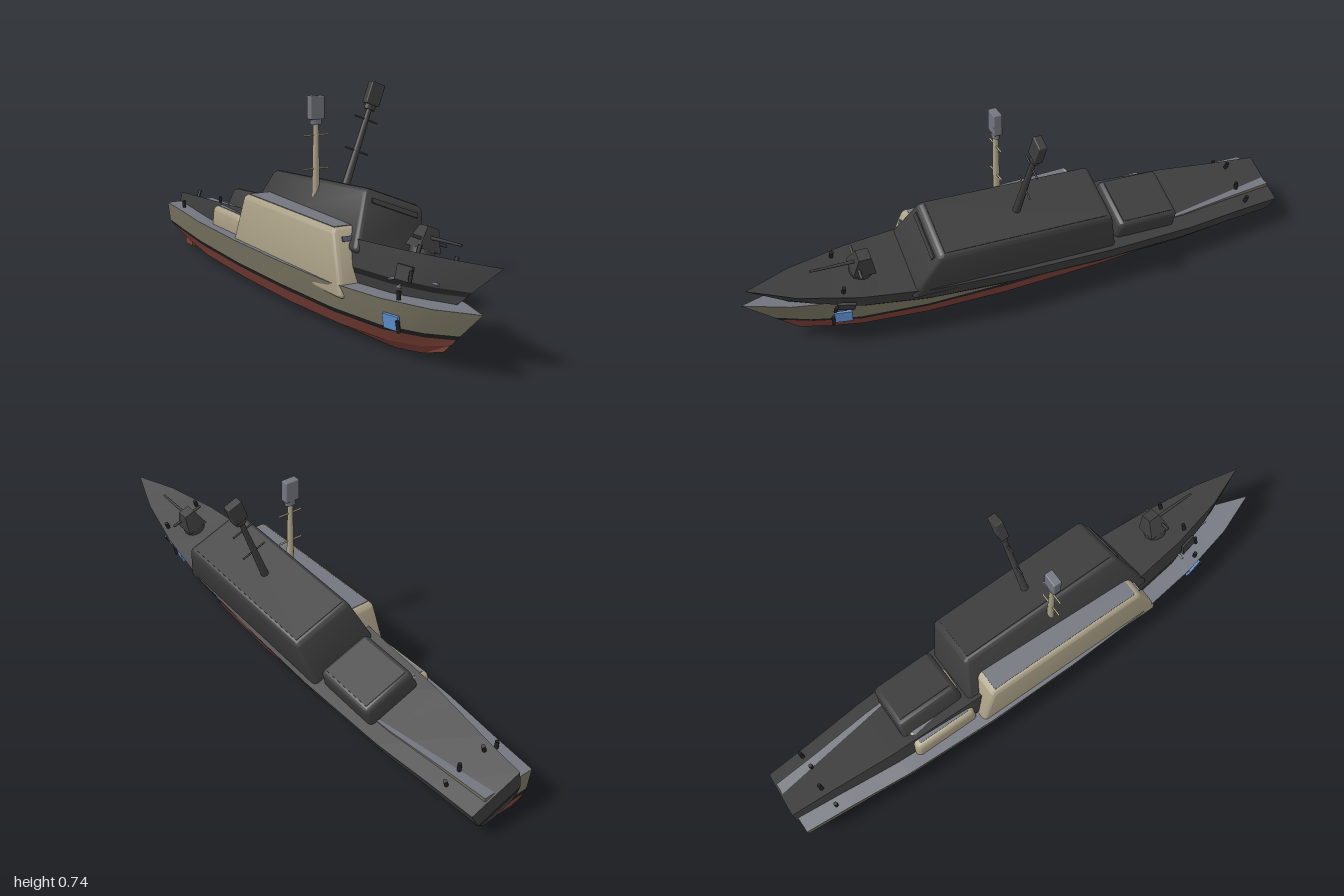
import * as THREE from 'three';
import { toCreasedNormals } from 'three/addons/utils/BufferGeometryUtils.js';
import { RoundedBoxGeometry } from 'three/addons/geometries/RoundedBoxGeometry.js';

const mat = (name, color) => {
  const m = new THREE.MeshStandardMaterial({ color });
  m.name = name;
  return m;
};

// z, rake, deck half-width, deck y, stripe half-width, stripe y, bilge half-width, bilge y, flat half-width, keel y
const STATIONS = [
  [1.0, 0.23, 0, 0.205, 0, 0.118, 0, 0.08, 0, 0.05],
  [0.85, 0.13, 0.058, 0.19, 0.042, 0.102, 0.022, 0.05, 0.006, 0.02],
  [0.65, 0.04, 0.103, 0.178, 0.087, 0.09, 0.06, 0.035, 0.022, 0.003],
  [0.4, 0, 0.134, 0.17, 0.118, 0.087, 0.088, 0.028, 0.037, 0],
  [0.1, 0, 0.145, 0.168, 0.13, 0.085, 0.105, 0.025, 0.045, 0],
  [-0.25, 0, 0.147, 0.167, 0.133, 0.084, 0.107, 0.025, 0.045, 0],
  [-0.6, 0, 0.134, 0.165, 0.12, 0.084, 0.098, 0.028, 0.04, 0.004],
  [-0.82, 0, 0.113, 0.165, 0.102, 0.086, 0.08, 0.042, 0.035, 0.025],
  [-0.99, 0, 0.1, 0.165, 0.09, 0.09, 0.07, 0.063, 0.03, 0.05],
];

// Cross-section rows from deck edge down to keel, for one side
function sectionRows(s, side) {
  const [z, rake, dw, dy, sw, sy, bw, by, fw, ky] = s;
  const k = 0.016 / (sy - by);
  const rows = [[dw, dy], [sw, sy], [sw + (bw - sw) * k, sy - 0.016], [bw, by], [fw, ky]];
  return rows.map(([x, y]) => new THREE.Vector3(side * x, y, z - rake * (dy - y) / dy));
}

// Skin between two equally long lines of points
function strip(a, b) {
  const pos = [];
  const tri = (p, q, r) => {
    const area = q.clone().sub(p).cross(r.clone().sub(p)).length();
    if (area > 1e-9) for (const v of [p, q, r]) pos.push(v.x, v.y, v.z);
  };
  for (let i = 0; i < a.length - 1; i++) {
    tri(a[i], b[i], a[i + 1]);
    tri(b[i], b[i + 1], a[i + 1]);
  }
  const g = new THREE.BufferGeometry();
  g.setAttribute('position', new THREE.Float32BufferAttribute(pos, 3));
  g.computeVertexNormals();
  return toCreasedNormals(g, 0.45);
}

// Rounded cabin whose sides and ends lean in toward the roof
function cabin(y0, y1, base, roof) {
  const g = new RoundedBoxGeometry(1, 1, 1, 3, 0.001);
  const src = new RoundedBoxGeometry(base.hw * 2, y1 - y0, base.front - base.back, 3, 0.018);
  g.dispose();
  const p = src.attributes.position;
  const len = base.front - base.back;
  for (let i = 0; i < p.count; i++) {
    const t = p.getY(i) / (y1 - y0) + 0.5;
    const u = p.getZ(i) / len + 0.5;
    const back = base.back + (roof.back - base.back) * t;
    const front = base.front + (roof.front - base.front) * t;
    p.setXYZ(i, p.getX(i) * (1 + (roof.hw / base.hw - 1) * t), y0 + (y1 - y0) * t, back + (front - back) * u);
  }
  src.computeVertexNormals();
  return toCreasedNormals(src, 0.6);
}

function buildShip(c) {
  const ship = new THREE.Group();
  const add = (name, geo, material, x = 0, y = 0, z = 0) => {
    const m = new THREE.Mesh(geo, material);
    m.name = name;
    m.position.set(x, y, z);
    ship.add(m);
    return m;
  };
  const box = (w, h, d) => new THREE.BoxGeometry(w, h, d);
  const cyl = (top, bottom, h, n = 12) => new THREE.CylinderGeometry(top, bottom, h, n);

  // Hull bands run down one side, across the transom and back up the other
  const left = STATIONS.map(s => sectionRows(s, 1));
  const right = STATIONS.map(s => sectionRows(s, -1));
  const loop = [...left, ...[...right].reverse()];
  const row = (list, i) => list.map(r => r[i]);
  const bands = [['topsides', c.hull], ['waterlineStripe', c.stripe], ['lowerHull', c.bottom], ['bilge', c.bottom]];
  bands.forEach(([name, m], i) => add(name, strip(row(loop, i), row(loop, i + 1)), m));
  add('deck', strip(row(right, 0), row(left, 0)), c.deck);
  add('flatBottom', strip(row(left, 4), row(right, 4)), c.bottom);

  // Superstructure and aft deckhouse with thin roof plates
  add('superstructure', cabin(0.13, 0.333,
    { hw: 0.135, front: 0.482, back: -0.294 }, { hw: 0.114, front: 0.4, back: -0.228 }), c.cabin);
  add('superstructureRoof', box(0.2, 0.004, 0.595), c.deck, 0, 0.333, 0.086);
  add('aftDeckhouse', cabin(0.14, 0.236,
    { hw: 0.106, front: -0.29, back: -0.54 }, { hw: 0.1, front: -0.296, back: -0.53 }), c.cabin);
  add('aftDeckhouseRoof', box(0.168, 0.004, 0.2), c.deck, 0, 0.236, -0.413);
  add('bridgeWindow', box(0.18, 0.016, 0.009), c.window, 0, 0.3, 0.414).rotation.x = -0.38;

  // Mast with yards and radar head
  add('mast', cyl(0.009, 0.014, 0.29), c.cabin, 0, 0.472, 0.09);
  for (const y of [0.463, 0.575]) {
    add('yard', cyl(0.0032, 0.0032, 0.094, 8), c.cabin, 0, y, 0.09).rotation.z = Math.PI / 2;
  }
  add('radarNeck', cyl(0.021, 0.021, 0.018), c.deck, 0, 0.619, 0.09).scale.z = 0.65;
  add('radarHead', new RoundedBoxGeometry(0.054, 0.078, 0.03, 2, 0.004), c.deck, 0, 0.666, 0.09);

  // Deck gun
  add('gunBase', cyl(0.04, 0.04, 0.03, 16), c.deck, 0, 0.185, 0.62);
  const turret = add('gunTurret', cyl(0.03, 0.056, 0.07, 4).toNonIndexed(), c.deck, 0, 0.234, 0.62);
  turret.geometry.rotateY(Math.PI / 4);
  turret.geometry.computeVertexNormals();
  add('gunBarrel', cyl(0.004, 0.006, 0.15, 8), c.deck, 0, 0.238, 0.72).rotation.x = Math.PI / 2;
  add('gunSideBar', cyl(0.005, 0.005, 0.13, 8), c.deck, 0, 0.228, 0.64).rotation.z = Math.PI / 2;

  // Paired fittings
  for (const s of [1, -1]) {
    add('aftBollard', cyl(0.007, 0.007, 0.03, 8), c.stripe, s * 0.08, 0.178, -0.86);
    add('foreBollard', cyl(0.007, 0.007, 0.03, 8), c.stripe, s * 0.07, 0.192, 0.7);
    add('rudder', box(0.012, 0.05, 0.07), c.bottom, s * 0.05, 0.03, -0.875);
    const plate = add('bowPlate', box(0.009, 0.046, 0.06), c.blue, s * 0.088, 0.115, 0.69);
    plate.rotation.set(0, -s * 0.24, -s * 0.17);
    add('anchor', cyl(0.006, 0.006, 0.036, 8), c.stripe, s * 0.088, 0.11, 0.725).rotation.z = -s * 0.17;
  }
  return ship;
}

export function createModel() {
  const hull = mat('olive hull', 0x777360);
  const cabinPaint = mat('warm beige', 0xaba187);
  const deck = mat('deck grey', 0x72757e);
  const red = mat('bottom red', 0x7c4037);
  const black = mat('stripe black', 0x202020);
  const blue = mat('plate blue', 0x5f92d2);
  const glass = mat('window blue grey', 0x525a70);
  const dark = mat('charcoal', 0x3d3d3d);

  const model = new THREE.Group();
  model.name = 'twoPatrolShips';

  // Upright painted ship
  const painted = buildShip({ hull, cabin: cabinPaint, deck, bottom: red, stripe: black, blue, window: glass });
  painted.name = 'paintedShip';
  painted.position.x = -0.07;

  // Dark ship, heeled over with its bow raised
  const heeled = buildShip({ hull: dark, cabin: dark, deck: dark, bottom: dark, stripe: black, blue: dark, window: dark });
  heeled.name = 'heeledShip';
  heeled.position.set(-0.07, 0.07, 0);
  heeled.rotation.set(-0.06, 0, -0.38);

  model.add(painted, heeled);
  return model;
}
